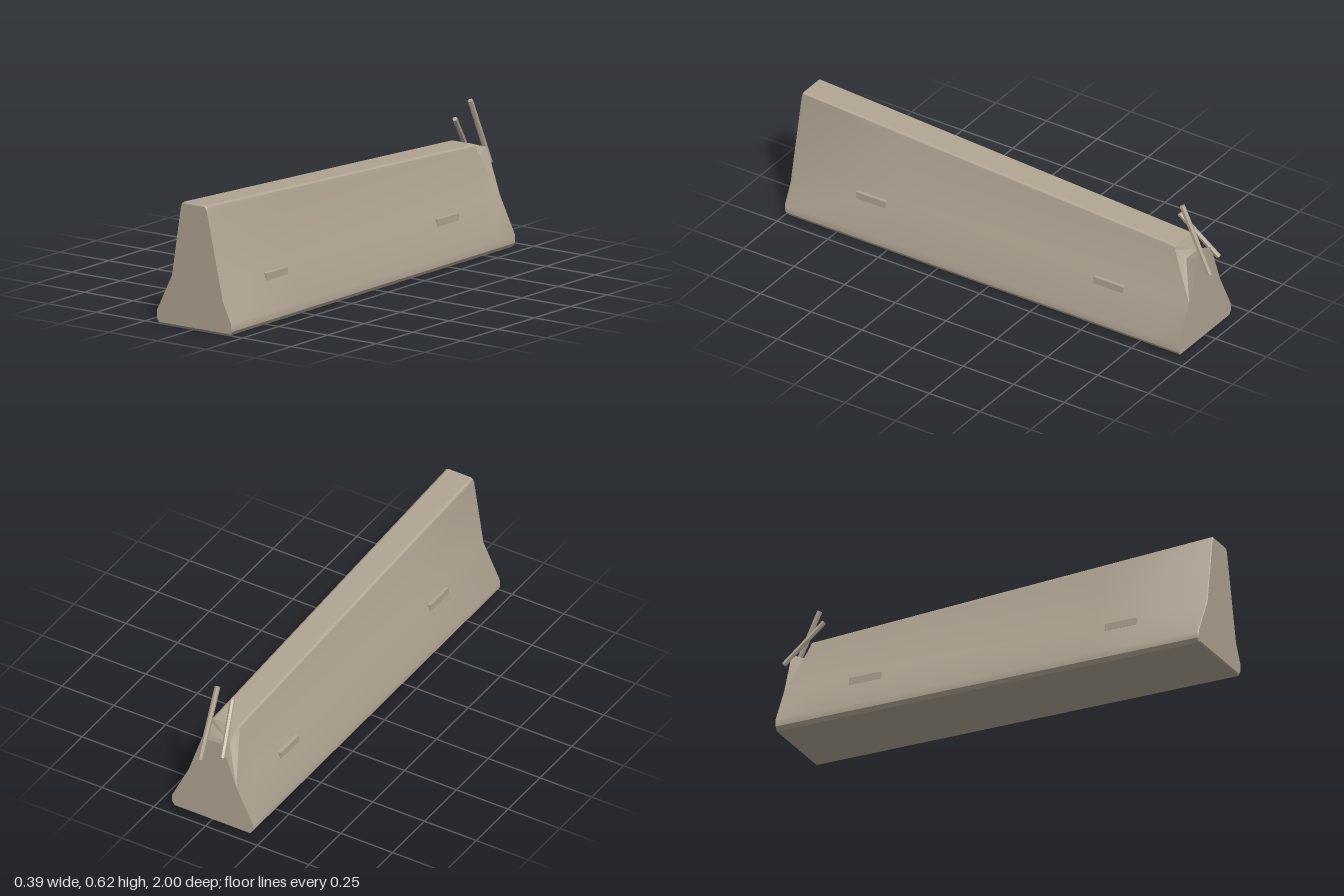
import * as THREE from 'three';
import { toCreasedNormals } from 'three/addons/utils/BufferGeometryUtils.js';

// Half cross-section of the barrier, bottom to top
const PROFILE = [[0.183, 0.003], [0.195, 0.02], [0.195, 0.052], [0.115, 0.215], [0.069, 0.515], [0.065, 0.528], [0.055, 0.535]];
const END = -0.945, BREAK = -0.845;

// One closed section; the crown sinks towards the rear, inset makes the edge bevel
function section(z, inset = 0, broken = false) {
  const half = PROFILE.map(([x, y], k) => {
    const top = k > 3;
    const pz = broken ? (top ? BREAK : END) : z;
    const py = top ? y - 0.053 * (1 - pz) : y;
    return [x * (1 - inset), py + (0.25 - py) * inset, pz];
  });
  return [...half, ...half.slice().reverse().map(([x, y, z2]) => [-x, y, z2])];
}

function barrierGeometry() {
  const rings = [section(1, 0.025), section(0.994), section(0.5), section(0), section(-0.5), section(-0.8), section(0, 0, true)];
  const n = PROFILE.length * 2;
  const points = rings.flat();
  const index = [];
  const fan = (...p) => {
    for (let i = 1; i < p.length - 1; i++) index.push(p[0], p[i], p[i + 1]);
  };

  // Long sides, crown and underside
  for (let r = 0; r < rings.length - 1; r++) {
    for (let i = 0; i < n; i++) {
      const a = r * n + i, d = r * n + (i + 1) % n;
      fan(a, a + n, d + n, d);
    }
  }
  // Front face
  fan(...Array.from({ length: n }, (_, i) => i));

  // Broken rear end: lower face, narrowing stub and the notch behind the crown
  const b = (rings.length - 1) * n;
  const s = points.length;
  points.push([0.046, 0.378, -0.885], [-0.046, 0.378, -0.885], [0.05, 0.405, END], [-0.046, 0.408, END]);
  const [vr, vl, ar, al] = [s, s + 1, s + 2, s + 3];
  fan(...[13, 12, 11, 10, 3, 2, 1, 0].map((i) => b + i));
  fan(b + 10, al, ar, b + 3);
  fan(b + 4, b + 3, vr);
  fan(b + 3, ar, vr);
  fan(b + 9, vl, b + 10);
  fan(b + 10, vl, al);
  fan(vr, ar, al, vl);
  fan(vl, b + 9, b + 8, b + 7, b + 6, b + 5, b + 4, vr);

  const geometry = new THREE.BufferGeometry();
  geometry.setAttribute('position', new THREE.Float32BufferAttribute(points.flat(), 3));
  geometry.setIndex(index);
  return toCreasedNormals(geometry, 0.6);
}

// Hexagonal bar between two points
function bar(from, to, radius, material) {
  const a = new THREE.Vector3(...from), b = new THREE.Vector3(...to);
  const dir = b.clone().sub(a);
  const geometry = toCreasedNormals(new THREE.CylinderGeometry(radius, radius, dir.length(), 6), 0.6);
  const mesh = new THREE.Mesh(geometry, material);
  mesh.position.copy(a).add(b).multiplyScalar(0.5);
  mesh.quaternion.setFromUnitVectors(new THREE.Vector3(0, 1, 0), dir.normalize());
  return mesh;
}

export function createModel() {
  const concrete = new THREE.MeshStandardMaterial({ color: 0xb0a492 });
  concrete.name = 'concrete';
  const model = new THREE.Group();
  model.name = 'concreteBarrier';

  const body = new THREE.Mesh(barrierGeometry(), concrete);
  body.name = 'barrierBody';
  model.add(body);

  // Lifting lugs, two on each side
  for (const side of [1, -1]) {
    for (const z of [0.612, -0.562]) {
      const lug = new THREE.Mesh(new THREE.BoxGeometry(0.04, 0.031, 0.145), concrete);
      lug.position.set(side * 0.119, 0.183, z);
      lug.name = side > 0 ? 'leftLug' : 'rightLug';
      model.add(lug);
    }
  }

  // Exposed reinforcing bars at the broken end
  const tallBar = bar([0.031, 0.33, -0.99], [0.031, 0.617, -0.855], 0.012, concrete);
  tallBar.name = 'tallReinforcingBar';
  const shortBar = bar([-0.065, 0.36, -0.972], [-0.015, 0.54, -0.812], 0.011, concrete);
  shortBar.name = 'shortReinforcingBar';
  model.add(tallBar, shortBar);
  return model;
}
